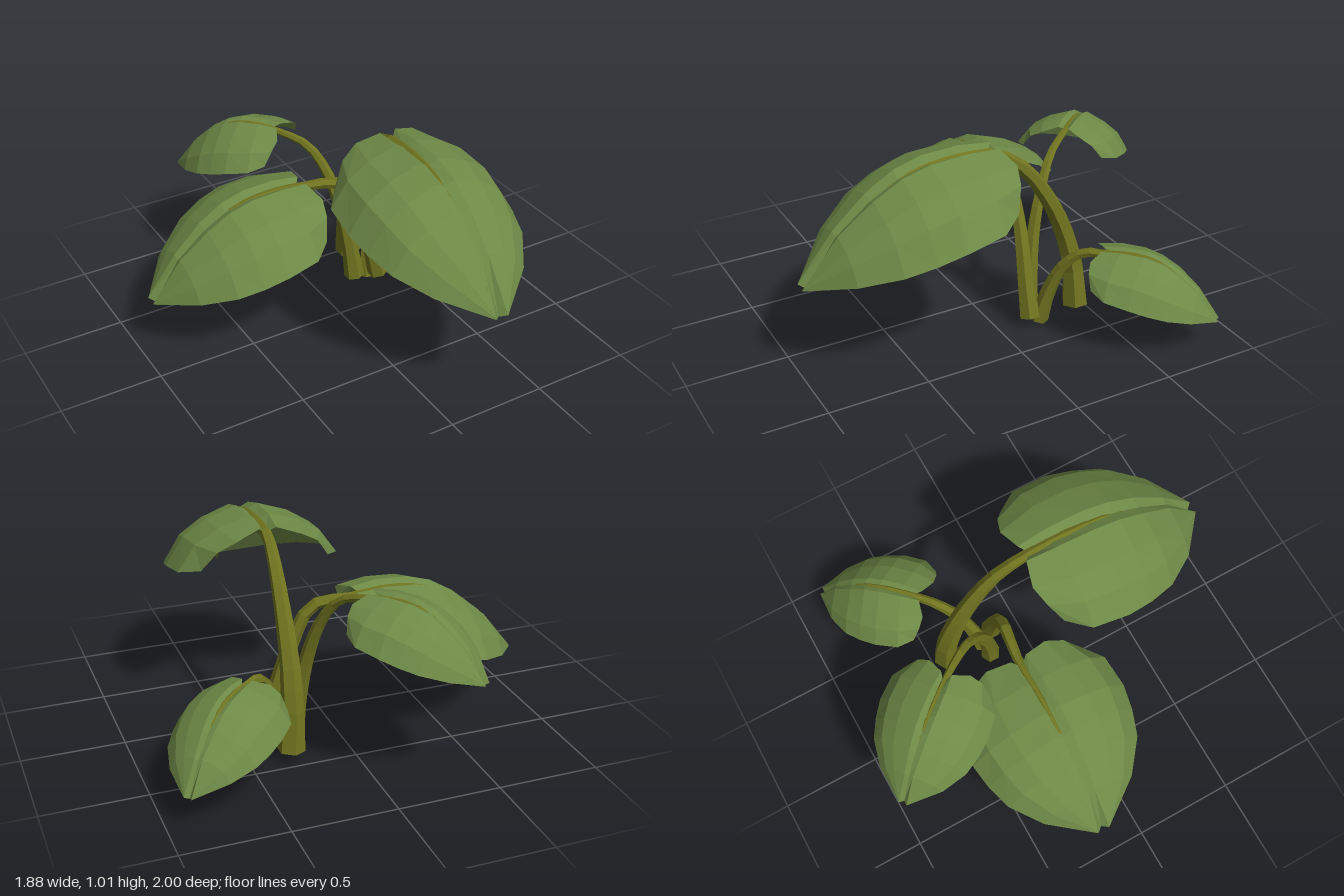
import * as THREE from 'three';

const leafMat = new THREE.MeshStandardMaterial({ color: 0x6e8946, flatShading: true, side: THREE.DoubleSide });
const stemMat = new THREE.MeshStandardMaterial({ color: 0x70741f, flatShading: true, side: THREE.DoubleSide });

// Leaf stations: [distance along, half width, ridge height, edge height], for a full-size leaf
const STATIONS = [
  [0.00, 0.32, -0.005, -0.20],
  [0.15, 0.405, 0.010, -0.235],
  [0.34, 0.42, 0.000, -0.27],
  [0.48, 0.40, -0.04, -0.31],
  [0.62, 0.36, -0.12, -0.35],
  [0.79, 0.245, -0.26, -0.41],
  [0.97, 0.03, -0.485, -0.49],
];
// Half cross-section: [fraction of width, fraction of droop, forward shift at the base lobe]
const SECTION = [[0, 0, 0.03], [0.13, 0, -0.01], [0.5, 0.2, -0.04], [0.78, 0.48, -0.01], [1, 1, 0.04]];
const COLUMNS = [...SECTION.slice(1).reverse().map((c) => [-1, ...c]), ...SECTION.map((c) => [1, ...c])];
const RIDGE = 0.03; // least distance of a ridge from the midrib
const grooveDepth = (s) => 0.035 - 0.02 * s;

// Maps leaf coordinates (along, across, height) to model space
function leafFrame({ base, tip, width, droop }) {
  const dx = tip[0] - base[0], dz = tip[1] - base[2];
  const length = Math.hypot(dx, dz), scale = length / 0.97;
  const fx = dx / length, fz = dz / length;
  return (s, w, h) => new THREE.Vector3(
    base[0] + fx * s * scale + fz * w * width,
    base[1] + h * scale * droop,
    base[2] + fz * s * scale - fx * w * width);
}

// Drooping heart-shaped blade with a groove along the midrib; sweep pulls the lobes back
function makeLeaf(frame, sweep) {
  const pos = [], index = [], n = COLUMNS.length;
  STATIONS.forEach(([s, w, ridge, edge], i) => {
    COLUMNS.forEach(([side, f, droop, lobe], j) => {
      const across = f === 0 ? 0 : Math.max(f * w, RIDGE);
      let h = THREE.MathUtils.lerp(ridge, edge, droop);
      let along = s - sweep * Math.sqrt(f) * (0.97 - s);
      if (i === 0) along += lobe;
      if (f === 0) {
        h -= grooveDepth(s);
        if (i === STATIONS.length - 1) along -= 0.03;
      }
      pos.push(...frame(along, side * across, h).toArray());
      if (i > 0 && j > 0) {
        const a = i * n + j, b = a - n;
        index.push(b - 1, a - 1, b, b, a - 1, a);
      }
    });
  });
  const geo = new THREE.BufferGeometry();
  geo.setAttribute('position', new THREE.Float32BufferAttribute(pos, 3));
  geo.setIndex(index);
  geo.computeVertexNormals();
  return new THREE.Mesh(geo, leafMat);
}

// Tapered six-sided stalk that carries on beneath the blade as its midrib
function makeStem(points, frame, radius) {
  const rib = STATIONS.map(([s, , ridge]) => frame(s * 0.96, 0, ridge - grooveDepth(s) - 0.006));
  const curve = new THREE.CatmullRomCurve3([...points.map((p) => new THREE.Vector3(...p)), ...rib]);
  const rings = 22, sides = 6;
  const geo = new THREE.TubeGeometry(curve, rings, 1, sides);
  const p = geo.attributes.position, v = new THREE.Vector3();
  for (let i = 0; i <= rings; i++) {
    const u = i / rings, centre = curve.getPointAt(u);
    // the first ring closes the foot, the second becomes its flared rim
    const place = i === 1 ? curve.getPointAt(0) : centre;
    const r = i === 0 ? 0 : radius * (1 - u) ** 1.4 * (i === 1 ? 1.15 : 1) + 0.004;
    for (let j = 0; j <= sides; j++) {
      const k = i * (sides + 1) + j;
      v.fromBufferAttribute(p, k).sub(centre).multiplyScalar(r).add(place);
      p.setXYZ(k, v.x, v.y, v.z);
    }
  }
  geo.computeVertexNormals();
  return new THREE.Mesh(geo, stemMat);
}

const SHOOTS = [
  { name: 'front', base: [0.25, 1.0, 0.03], tip: [0.24, 1.0], width: 1, droop: 1, sweep: 0, radius: 0.06,
    stem: [[0.3, 0.05, -0.425], [0.29, 0.2, -0.42], [0.28, 0.42, -0.37], [0.275, 0.65, -0.27], [0.265, 0.86, -0.12]] },
  { name: 'right', base: [-0.11, 0.72, -0.2], tip: [-0.94, -0.2], width: 0.99, droop: 1.02, sweep: 0, radius: 0.047,
    stem: [[0.32, 0.06, -0.15], [0.27, 0.25, -0.15], [0.2, 0.47, -0.16], [0.1, 0.65, -0.17]] },
  { name: 'backRight', base: [-0.06, 0.85, -0.56], tip: [-0.41, -0.99], width: 0.65, droop: 1.13, sweep: 0.1, radius: 0.045,
    stem: [[0.21, 0.04, -0.21], [0.19, 0.22, -0.225], [0.16, 0.42, -0.255], [0.115, 0.63, -0.32], [0.05, 0.77, -0.41]] },
  { name: 'backLeft', base: [0.53, 0.46, -0.45], tip: [0.91, -0.84], width: 0.61, droop: 1.1, sweep: 0.12, radius: 0.041,
    stem: [[0.29, 0.01, -0.22], [0.32, 0.17, -0.25], [0.37, 0.33, -0.3], [0.44, 0.42, -0.37]] },
];

export function createModel() {
  const plant = new THREE.Group();
  plant.name = 'plant';
  for (const shoot of SHOOTS) {
    const group = new THREE.Group();
    group.name = shoot.name + 'Shoot';
    const frame = leafFrame(shoot);
    const leaf = makeLeaf(frame, shoot.sweep);
    leaf.name = shoot.name + 'Leaf';
    const stem = makeStem(shoot.stem, frame, shoot.radius);
    stem.name = shoot.name + 'Stem';
    group.add(leaf, stem);
    plant.add(group);
  }
  return plant;
}
